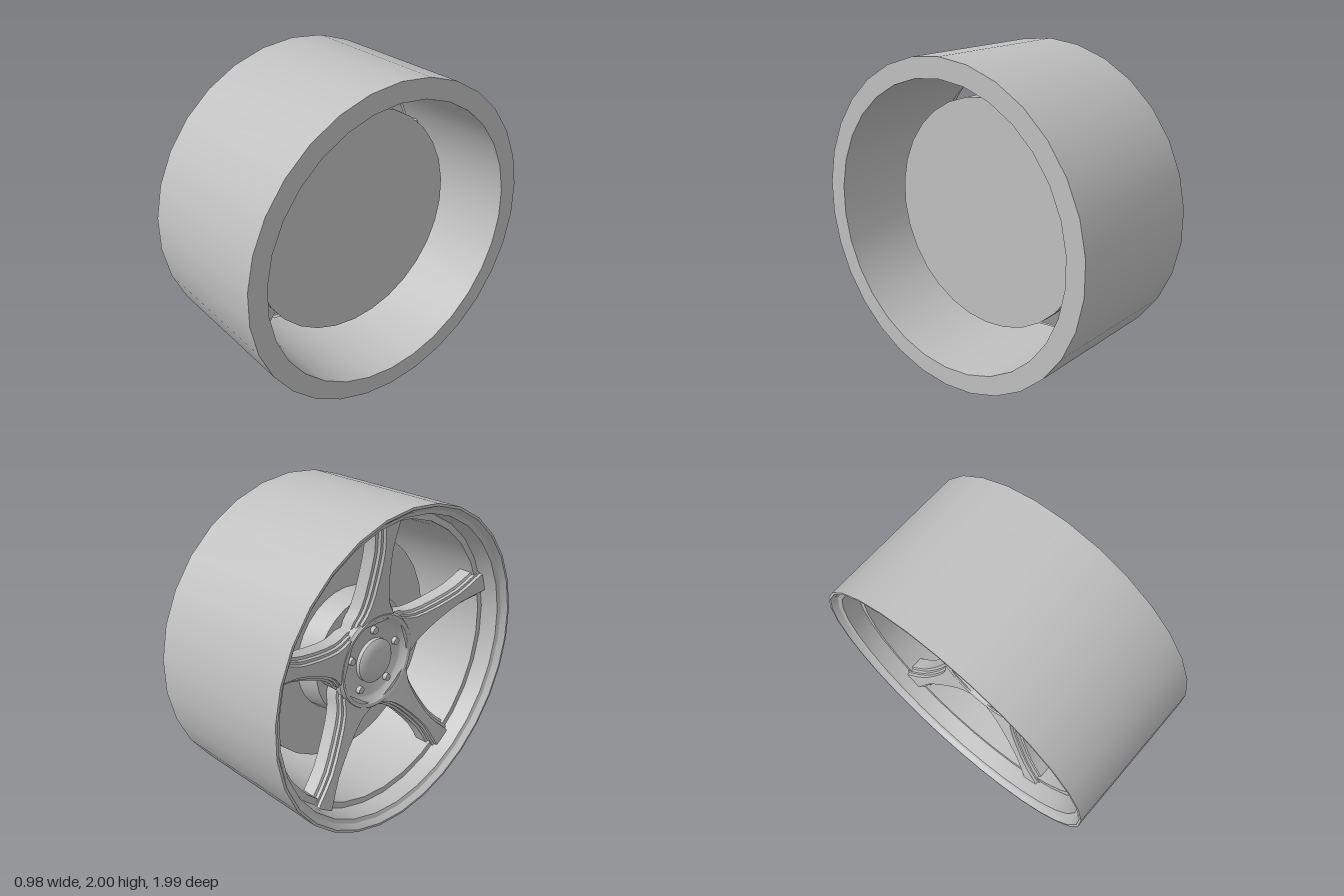
import * as THREE from 'three';
import { toCreasedNormals } from 'three/addons/utils/BufferGeometryUtils.js';

const CREASE = 0.5;

export function createModel() {
  const model = new THREE.Group();
  const metal = new THREE.MeshStandardMaterial({ color: 0xc0c0c0 });
  metal.name = 'grey metal';

  const wheel = new THREE.Group();
  wheel.name = 'wheel';
  wheel.position.y = 1;
  model.add(wheel);

  function add(name, geometry, parent = wheel) {
    const mesh = new THREE.Mesh(geometry, metal);
    mesh.name = name;
    parent.add(mesh);
    return mesh;
  }

  // Solid of revolution about x; points are [radius, distance towards the outer face (-x)]
  function turned(name, points, segments = 30) {
    const profile = points.map(([r, d]) => new THREE.Vector2(r, d));
    const geo = new THREE.LatheGeometry(profile, segments, Math.PI / 2);
    geo.rotateZ(Math.PI / 2);
    return add(name, toCreasedNormals(geo, CREASE));
  }

  // Barrel with a stepped lip on the outer face and a narrow seat for the spokes
  turned('rimBarrel', [
    [0.88, -0.49], [1, -0.49], [1, 0.49], [0.985, 0.49], [0.96, 0.455],
    [0.935, 0.445], [0.92, 0.33], [0.88, 0.33], [0.88, -0.49],
  ]);

  // Brake disc with its raised centre
  turned('brakeDisc', [
    [0, -0.115], [0.72, -0.115], [0.72, -0.015], [0.4, -0.015], [0.38, 0.13], [0, 0.13],
  ]);

  // Dished hub and centre cap
  turned('hub', [
    [0, 0.12], [0.31, 0.12], [0.31, 0.245], [0.295, 0.26], [0.275, 0.255],
    [0.245, 0.222], [0.23, 0.215], [0, 0.215],
  ], 40);
  turned('centreCap', [
    [0.14, 0.2], [0.14, 0.24], [0.125, 0.252], [0.08, 0.262], [0, 0.265],
  ], 32);

  // Spoke: stepped cross-section swept outwards, [radius, half width, face x]
  const stations = [
    [0.25, 0.18, -0.25], [0.29, 0.165, -0.256], [0.33, 0.135, -0.263],
    [0.38, 0.113, -0.272], [0.45, 0.096, -0.284], [0.55, 0.081, -0.3],
    [0.65, 0.072, -0.317], [0.72, 0.07, -0.329], [0.8, 0.08, -0.342],
    [0.88, 0.095, -0.354], [0.92, 0.1, -0.36],
  ];
  function spokeGeometry() {
    const positions = [];
    const index = [];
    for (const [r, w, face] of stations) {
      const half = [
        [w, face + 0.13], [w, face + 0.045], [w - 0.016, face + 0.04],
        [w - 0.018, face + 0.02], [w - 0.034, face + 0.018], [w - 0.038, face],
      ];
      const section = [
        ...half.map(([z, x]) => [-z, x]),
        ...half.slice().reverse(),
      ];
      for (const [z, x] of section) positions.push(x, r, z);
    }
    const n = 12;
    for (let i = 0; i < stations.length - 1; i++) {
      for (let j = 0; j < n; j++) {
        const a = i * n + j;
        const b = i * n + ((j + 1) % n);
        index.push(a, b, b + n, a, b + n, a + n);
      }
    }
    // Outer end cap, in strips between mirrored points
    const e = (stations.length - 1) * n;
    for (let j = 0; j < 5; j++) {
      const p = e + j, q = e + n - 1 - j;
      index.push(p, p + 1, q - 1, p, q - 1, q);
    }
    const geo = new THREE.BufferGeometry();
    geo.setAttribute('position', new THREE.Float32BufferAttribute(positions, 3));
    geo.setIndex(index);
    return toCreasedNormals(geo, CREASE);
  }

  // Five spokes, each with a bolt in line at the hub
  const spoke = spokeGeometry();
  const bolt = new THREE.CylinderGeometry(0.022, 0.026, 0.04, 12);
  bolt.rotateZ(Math.PI / 2);
  bolt.translate(-0.22, 0.198, 0);
  for (let i = 0; i < 5; i++) {
    const arm = new THREE.Group();
    arm.name = 'arm' + (i + 1);
    arm.rotation.x = (i * Math.PI * 2) / 5;
    wheel.add(arm);
    add('spoke', spoke, arm);
    add('bolt', bolt, arm);
  }

  return model;
}
